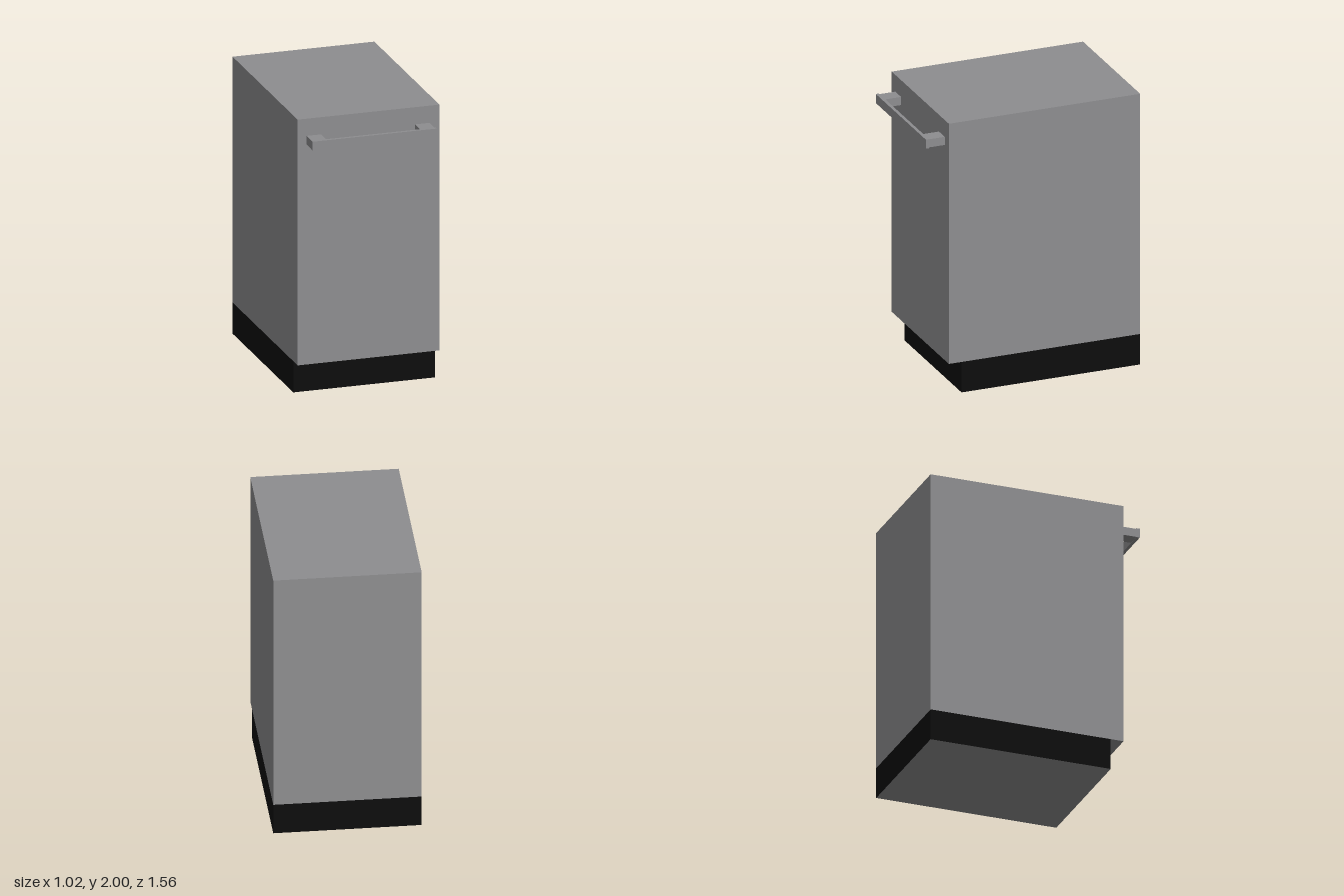
import * as THREE from 'three';

export function createModel() {
  const steel = new THREE.MeshStandardMaterial({ color: 0x8e8e90 });
  steel.name = 'steel grey';
  const black = new THREE.MeshStandardMaterial({ color: 0x0d0d0d });
  black.name = 'kick black';

  const model = new THREE.Group();
  model.name = 'undercounterAppliance';

  // Box given by its minimum and maximum corners
  function box(name, [x0, y0, z0], [x1, y1, z1], material, parent = model) {
    const mesh = new THREE.Mesh(new THREE.BoxGeometry(x1 - x0, y1 - y0, z1 - z0), material);
    mesh.position.set((x0 + x1) / 2, (y0 + y1) / 2, (z0 + z1) / 2);
    mesh.name = name;
    parent.add(mesh);
    return mesh;
  }

  const W = 0.511, BACK = -0.78, SEAM = 0.543, FRONT = 0.637, KICK = 0.225;

  // Recessed base: black sides, grey underside
  box('kickBase', [-W, 0, BACK], [W, KICK, SEAM], [black, black, black, steel, black, black]);

  // Cabinet and the door that overhangs the base
  box('cabinet', [-W, KICK, BACK], [W, 2, SEAM], steel);
  box('door', [-W, KICK, SEAM], [W, 2, FRONT], steel);

  // Bar handle on two posts
  const handle = new THREE.Group();
  handle.name = 'handle';
  model.add(handle);
  box('handleBar', [-0.45, 1.813, 0.757], [0.445, 1.88, 0.78], steel, handle);
  box('rightPost', [-0.447, 1.816, FRONT], [-0.343, 1.876, 0.757], steel, handle);
  box('leftPost', [0.334, 1.816, FRONT], [0.438, 1.876, 0.757], steel, handle);

  return model;
}
